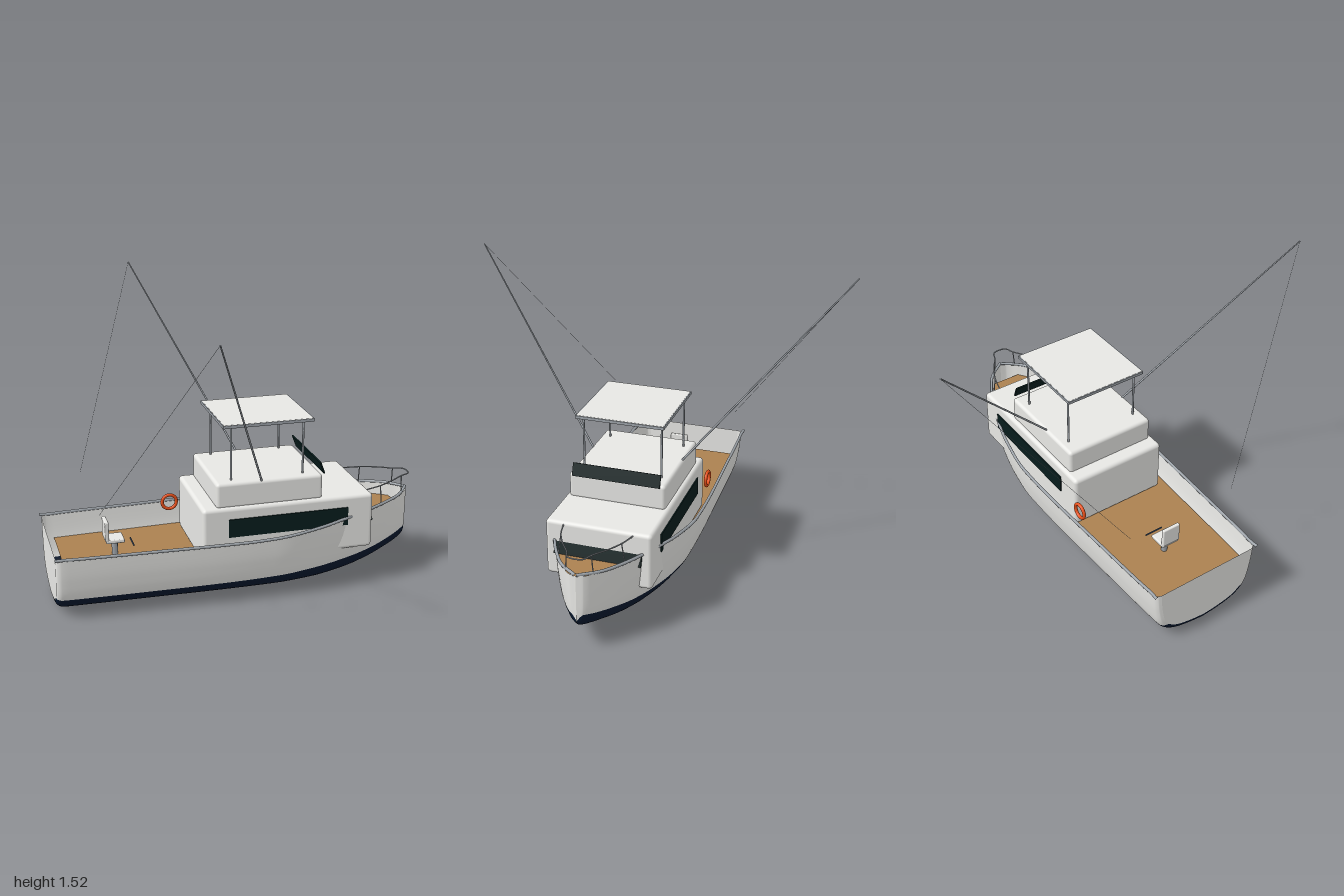
import * as THREE from 'three';
import { RoundedBoxGeometry } from 'three/addons/geometries/RoundedBoxGeometry.js';

const mat = (name, color, side = THREE.FrontSide) => {
  const m = new THREE.MeshStandardMaterial({ color, side });
  m.name = name;
  return m;
};

export function createModel() {
  const boat = new THREE.Group();
  boat.name = 'fishingBoat';
  const white = mat('white', 0xe8e8e5);
  const shell = mat('hullWhite', 0xe8e8e5, THREE.DoubleSide);
  const navy = mat('navy', 0x07182e, THREE.DoubleSide);
  const wood = mat('deckWood', 0xac8150, THREE.DoubleSide);
  const glass = mat('darkGlass', 0x061c1c);
  const metal = mat('metal', 0x9da3a9);
  const slate = mat('slate', 0x44566e);
  const orange = mat('orange', 0xe8501a);

  const add = (name, geo, material, x = 0, y = 0, z = 0) => {
    const m = new THREE.Mesh(geo, material);
    m.name = name;
    m.position.set(x, y, z);
    boat.add(m);
    return m;
  };
  const V = (x, y, z) => new THREE.Vector3(x, y, z);
  const box = (name, material, x0, x1, y0, y1, z0, z1, r = 0) => add(name,
    r ? new RoundedBoxGeometry(x1 - x0, y1 - y0, z1 - z0, 3, r) : new THREE.BoxGeometry(x1 - x0, y1 - y0, z1 - z0),
    material, (x0 + x1) / 2, (y0 + y1) / 2, (z0 + z1) / 2);
  const rod = (name, material, a, b, r, r2 = r) => {
    const m = add(name, new THREE.CylinderGeometry(r2, r, a.distanceTo(b), 8), material);
    m.position.copy(a).lerp(b, 0.5);
    m.quaternion.setFromUnitVectors(V(0, 1, 0), b.clone().sub(a).normalize());
  };
  const tube = (name, material, pts, r) => add(name,
    new THREE.TubeGeometry(new THREE.CatmullRomCurve3(pts), pts.length * 4, r, 8), material);

  // Hull stations: x, half beam, sheer height, keel height, waterline
  const stations = [
    [-0.966, 0.274, 0.335, 0.04, 0.105], [-0.96, 0.29, 0.335, 0.02, 0.105], [-0.94, 0.301, 0.335, 0.004, 0.105],
    [-0.9, 0.305, 0.335, 0, 0.106], [-0.5, 0.322, 0.335, 0, 0.108],
    [0, 0.338, 0.335, 0, 0.115], [0.15, 0.338, 0.341, 0, 0.12],
    [0.35, 0.312, 0.358, 0.002, 0.13], [0.55, 0.262, 0.382, 0.02, 0.145],
    [0.7, 0.205, 0.396, 0.05, 0.16], [0.82, 0.14, 0.402, 0.085, 0.178],
    [0.9, 0.083, 0.407, 0.112, 0.19], [0.95, 0.036, 0.409, 0.145, 0.199],
    [0.96, 0, 0.41, 0.16, 0.162]];
  // Monotone cubic interpolation of column k at x
  const at = (x, k) => {
    const n = stations.length - 1;
    let i = 0;
    while (i < n - 1 && x > stations[i + 1][0]) i++;
    const d = j => (stations[j + 1][k] - stations[j][k]) / (stations[j + 1][0] - stations[j][0]);
    const slope = j => {
      if (j === 0) return d(0);
      if (j === n) return d(n - 1);
      const a = d(j - 1), b = d(j);
      return a * b > 0 ? 2 * a * b / (a + b) : 0;
    };
    const h = stations[i + 1][0] - stations[i][0], t = (x - stations[i][0]) / h, t2 = t * t, t3 = t2 * t;
    return (2 * t3 - 3 * t2 + 1) * stations[i][k] + (t3 - 2 * t2 + t) * h * slope(i)
      + (3 * t2 - 2 * t3) * stations[i + 1][k] + (t3 - t2) * h * slope(i + 1);
  };
  const section = new THREE.SplineCurve([[0, 0], [0.32, 0.035], [0.65, 0.12], [0.87, 0.31], [0.96, 0.64], [1, 1]]
    .map(p => new THREE.Vector2(...p)));
  const xs = [];
  stations.forEach((s, i) => {
    if (i === stations.length - 1) return xs.push(s[0]);
    for (let k = 0; k < 5; k++) xs.push(s[0] + (stations[i + 1][0] - s[0]) * k / 5);
  });
  const rings = xs.map(x => {
    const [b, sheer, keel, wl] = [1, 2, 3, 4].map(k => at(x, k));
    const target = (wl - keel) / (sheer - keel);
    let lo = 0, hi = 1;
    for (let k = 0; k < 24; k++) {
      const mid = (lo + hi) / 2;
      if (section.getPoint(mid).y < target) lo = mid; else hi = mid;
    }
    return { x, b, sheer, keel, tw: lo };
  });
  const hullPoint = (r, t) => {
    const p = section.getPoint(Math.min(1, Math.abs(t)));
    return [r.x, r.keel + (r.sheer - r.keel) * p.y, Math.sign(t) * r.b * p.x];
  };
  const grid = (nu, nv, f) => {
    const pos = [], idx = [];
    for (let i = 0; i <= nu; i++) for (let j = 0; j <= nv; j++) pos.push(...f(i, j));
    for (let i = 0; i < nu; i++) for (let j = 0; j < nv; j++) {
      const a = i * (nv + 1) + j, b = a + nv + 1;
      idx.push(a, b, b + 1, a, b + 1, a + 1);
    }
    const g = new THREE.BufferGeometry();
    g.setAttribute('position', new THREE.Float32BufferAttribute(pos, 3));
    g.setIndex(idx);
    g.computeVertexNormals();
    return g;
  };

  // Hull skins, split at the waterline
  const last = rings.length - 1, N = 14;
  add('hullBottom', grid(last, 2 * N, (i, j) => hullPoint(rings[i], rings[i].tw * (j / N - 1))), navy);
  for (const s of [-1, 1]) {
    add('hullSide', grid(last, N, (i, j) => {
      const k = s > 0 ? j / N : 1 - j / N;
      return hullPoint(rings[i], s * (rings[i].tw + (1 - rings[i].tw) * k));
    }), shell);
  }
  // Transom, white down to the keel
  add('transom', grid(1, 2 * N, (i, j) => hullPoint(rings[0], (i ? 1 : -1) * Math.max(0.0001, j / (2 * N)))), shell);

  // Cockpit sole and raised foredeck
  const deck = (name, x0, x1, y, k) => add(name, grid(24, 1, (i, j) => {
    const x = x0 + (x1 - x0) * i / 24;
    return [x, y, (j ? -1 : 1) * at(x, 1) * k];
  }), wood);
  deck('cockpitDeck', -0.905, 0.64, 0.208, 0.93);
  deck('foredeck', 0.6, 0.9, 0.335, 0.95);

  // Cabin, flybridge and glazing
  box('cabin', white, -0.232, 0.667, 0.208, 0.5, -0.268, 0.268, 0.02);
  box('flybridge', white, -0.157, 0.398, 0.49, 0.624, -0.248, 0.248, 0.018);
  for (const s of [-1, 1]) box('sideWindow', glass, -0.1, 0.53, 0.345, 0.44, s * 0.27 - 0.004, s * 0.27 + 0.004);
  const pane = (name, x, y, w) => {
    add(name, new THREE.BoxGeometry(0.008, 0.066, w), glass, x, y, 0).rotation.z = 0.36;
  };
  pane('windshield', 0.403, 0.65, 0.45);
  pane('cabinFrontWindow', 0.673, 0.366, 0.44);

  // Canopy on four posts
  box('canopyRoof', white, -0.111, 0.35, 0.899, 0.916, -0.22, 0.22);
  for (const s of [-1, 1]) {
    box('canopyTrim', metal, -0.116, 0.355, 0.9, 0.915, s * 0.221 - 0.004, s * 0.221 + 0.004);
    box('canopyTrim', metal, 0.1195 + s * 0.2315 - 0.004, 0.1195 + s * 0.2315 + 0.004, 0.9, 0.915, -0.225, 0.225);
    for (const x of [-0.07, 0.305]) rod('canopyPost', metal, V(x, 0.61, s * 0.2), V(x, 0.9, s * 0.2), 0.0055);
  }

  // Gunwale rails, outriggers with lines, and bow rail posts
  for (const s of [-1, 1]) {
    const pts = [V(-0.973, 0.338, s * 0.307)];
    for (let i = 0; i <= 24; i++) {
      const x = -0.93 + 1.89 * i / 24;
      pts.push(V(x, at(x, 2) + 0.002, s * (at(x, 1) + 0.001)));
    }
    tube('gunwaleRail', metal, pts, 0.008);
    const tip = V(-0.335, 1.52, s * 0.997);
    rod('outrigger', metal, V(0.08, 0.615, s * 0.235), tip, 0.0055, 0.0035);
    rod('outriggerLine', metal, tip, V(-0.75, 0.55, s * 0.305), 0.0008);
    rod('bowRailPost', metal, V(0.755, 0.39, s * 0.165), V(0.755, 0.492, s * 0.15), 0.003);
    rod('bowRailPost', metal, V(0.91, 0.4, s * 0.068), V(0.91, 0.499, s * 0.06), 0.003);
  }
  const half = [[0.66, 0.485, 0.175], [0.755, 0.491, 0.15], [0.84, 0.496, 0.108], [0.91, 0.499, 0.06], [0.96, 0.501, 0.036]];
  tube('bowRail', metal, [...half.map(p => V(...p)),
    ...half.slice().reverse().map(([x, y, z]) => V(x, y, -z))], 0.0035);

  // Fishing chair with footrest
  rod('chairPedestal', metal, V(-0.63, 0.208, 0), V(-0.63, 0.285, 0), 0.016);
  box('chairSeat', white, -0.68, -0.585, 0.282, 0.302, -0.05, 0.05, 0.006);
  box('chairBack', white, -0.685, -0.665, 0.295, 0.4, -0.05, 0.05, 0.006);
  rod('chairFootrest', slate, V(-0.54, 0.262, -0.05), V(-0.54, 0.262, 0.05), 0.004);

  // Life ring
  add('lifeRing', new THREE.TorusGeometry(0.039, 0.009, 10, 32), orange, -0.282, 0.348, -0.276);
  return boat;
}
